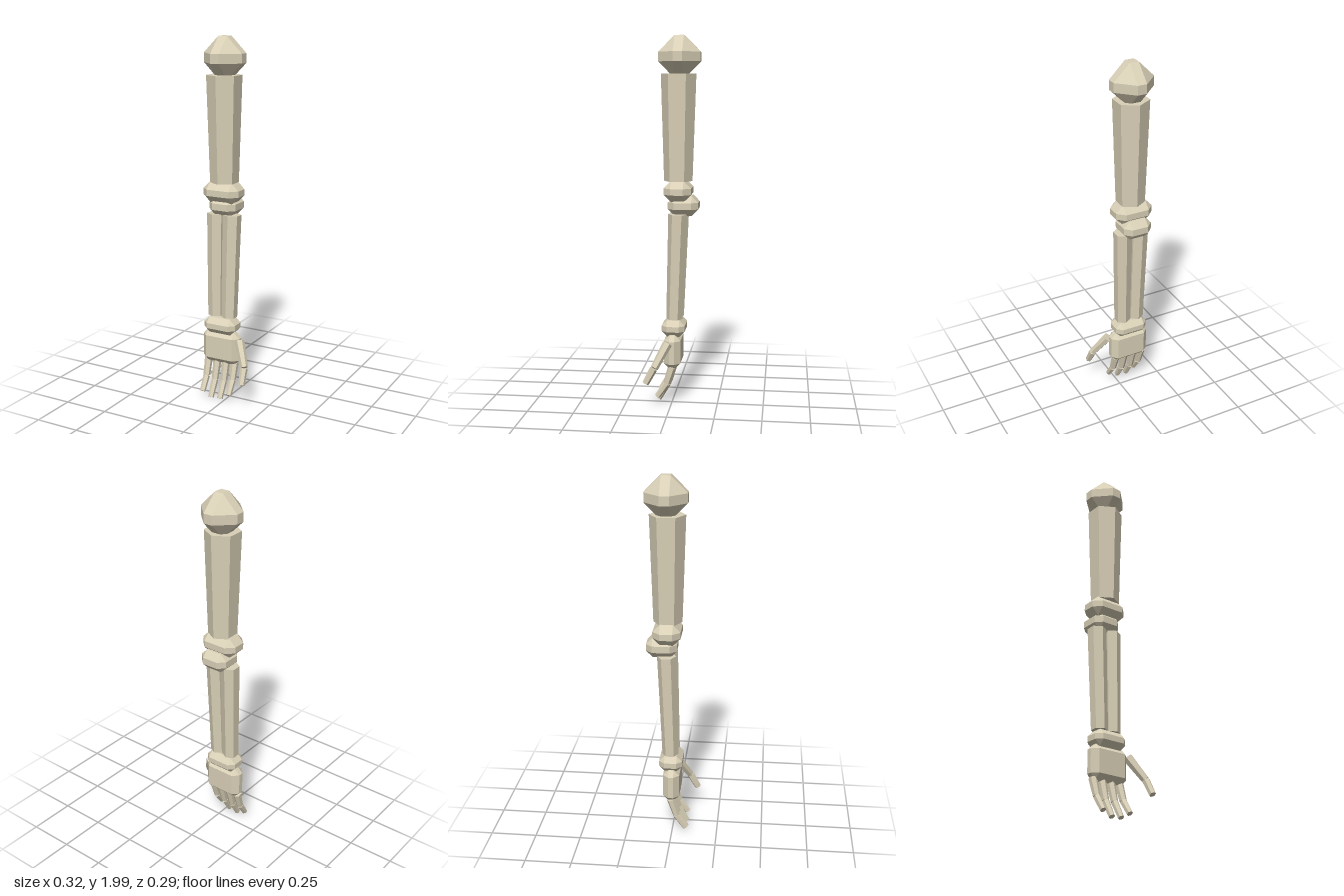
import * as THREE from 'three';
import { ConvexGeometry } from 'three/addons/geometries/ConvexGeometry.js';

export function createModel() {
  const model = new THREE.Group();
  model.name = 'skeletonArm';
  const bone = new THREE.MeshStandardMaterial({ color: 0xd8cfb6, flatShading: true });
  bone.name = 'bone';

  const add = (name, geometry, parent = model) => {
    const mesh = new THREE.Mesh(geometry, bone);
    mesh.name = name;
    parent.add(mesh);
    return mesh;
  };

  // Box with every edge and corner chamfered by c
  const joint = (name, center, half, c) => {
    const points = [];
    for (const sx of [-1, 1]) for (const sy of [-1, 1]) for (const sz of [-1, 1])
      for (let axis = 0; axis < 3; axis++) {
        const p = half.map((h, i) => (i === axis ? h : h - c));
        points.push(new THREE.Vector3(sx * p[0], sy * p[1], sz * p[2]));
      }
    add(name, new ConvexGeometry(points)).position.set(...center);
  };

  // Tapered six-sided shaft from the top point to the bottom point
  const shaft = (name, top, bottom, rTop, rBottom, parent) => {
    const a = new THREE.Vector3(...top), b = new THREE.Vector3(...bottom);
    const mesh = add(name, new THREE.CylinderGeometry(rTop, rBottom, a.distanceTo(b), 6), parent);
    mesh.position.copy(a).add(b).multiplyScalar(0.5);
    mesh.quaternion.setFromUnitVectors(new THREE.Vector3(0, 1, 0), a.sub(b).normalize());
  };

  // Upper arm
  joint('shoulderBall', [-0.047, 1.888, -0.035], [0.112, 0.112, 0.112], 0.087);
  shaft('upperArm', [-0.048, 1.8, -0.029], [-0.047, 1.23, -0.028], 0.095, 0.077);

  // Elbow
  joint('elbowUpper', [-0.051, 1.178, -0.029], [0.106, 0.057, 0.074], 0.04);
  joint('elbowLower', [-0.05, 1.1, -0.058], [0.08, 0.053, 0.082], 0.035);

  // Paired forearm bones
  for (const [name, side] of [['forearmRight', -1], ['forearmLeft', 1]])
    shaft(name, [-0.05 + side * 0.048, 1.055, -0.03], [-0.05 + side * 0.041, 0.48, -0.011], 0.051, 0.044);

  // Wrist and palm
  joint('wrist', [-0.05, 0.43, -0.008], [0.095, 0.045, 0.063], 0.03);
  joint('palm', [-0.048, 0.303, -0.004], [0.112, 0.094, 0.045], 0.031);

  // Four fingers: x at root, x at tip, drop of the tip
  const fingers = [[-0.135, -0.131, 0.045], [-0.08, -0.078, 0.02], [-0.025, -0.021, 0.024], [0.029, 0.034, 0.053]];
  fingers.forEach(([x0, x1, tipY], i) => {
    const finger = new THREE.Group();
    finger.name = 'finger' + (i + 1);
    model.add(finger);
    const midY = 0.1 + tipY * 0.5, midX = (x0 + x1) / 2;
    shaft('fingerBase', [x0, 0.22, -0.004], [midX, midY, 0.026], 0.023, 0.019, finger);
    shaft('fingerTip', [midX, midY - 0.003, 0.028], [x1, tipY, 0.076], 0.019, 0.016, finger);
  });

  // Thumb
  const thumb = new THREE.Group();
  thumb.name = 'thumb';
  model.add(thumb);
  shaft('thumbBase', [0.07, 0.36, 0.017], [0.133, 0.24, 0.08], 0.027, 0.021, thumb);
  shaft('thumbTip', [0.133, 0.236, 0.084], [0.14, 0.156, 0.126], 0.021, 0.018, thumb);

  return model;
}
